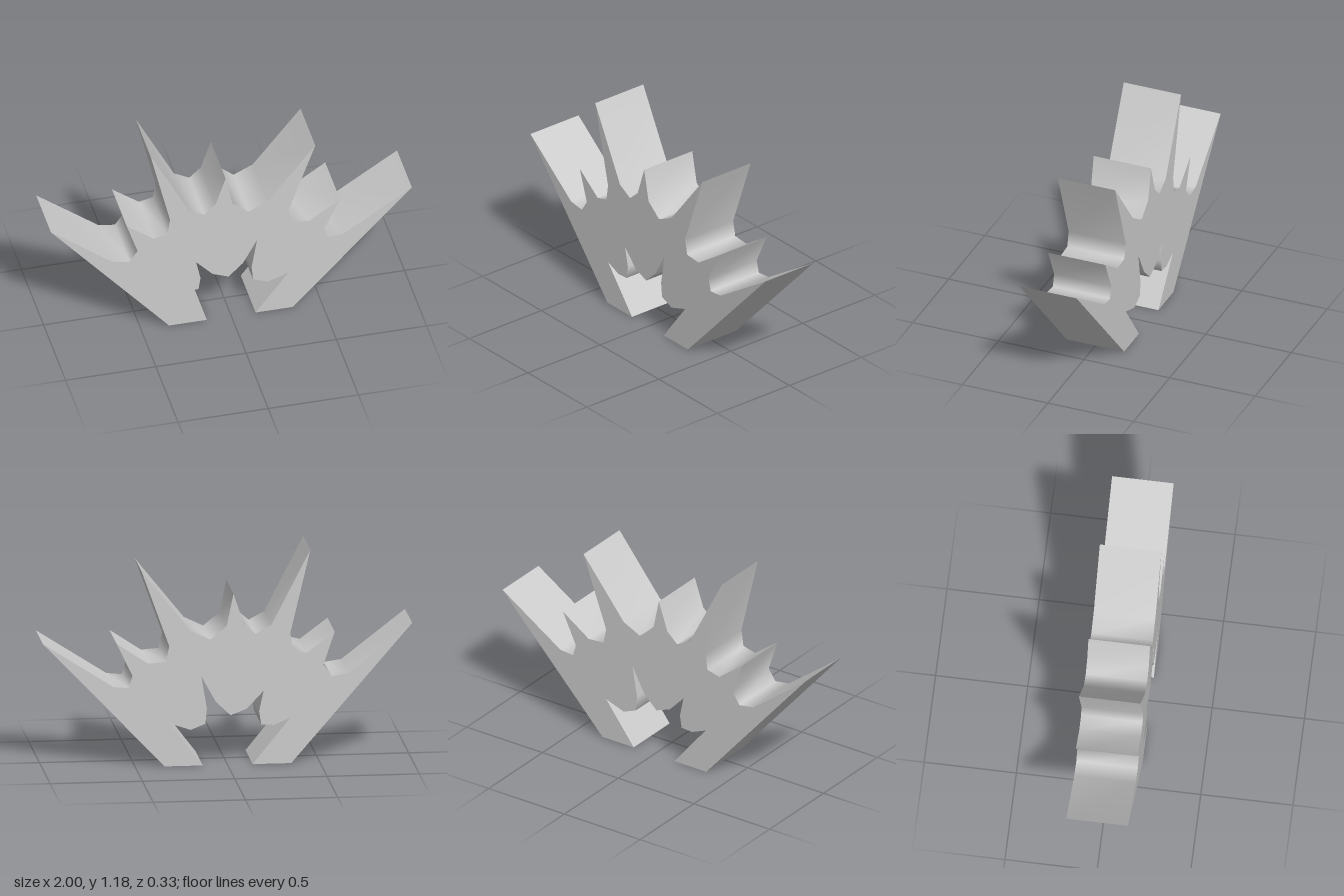
import * as THREE from 'three';

const HALF_DEPTH = 0.167;

// Clockwise outline as runs from one sharp corner up to (not including) the next.
// The first point of each run is a sharp tip; the others round out the valley after it.
const RUNS = [
  [-0.345, 0],                                                  // left foot, outer corner
  [-1, 0.757, -0.655, 0.49, -0.564, 0.476, -0.52, 0.54],        // upper spikes
  [-0.58, 0.72, -0.43, 0.607, -0.353, 0.626, -0.34, 0.72],
  [-0.449, 1.177, -0.238, 0.767, -0.152, 0.72, -0.088, 0.778],
  [-0.032, 0.944, 0.005, 0.767, 0.094, 0.695, 0.2, 0.746],
  [0.465, 1.078, 0.316, 0.663, 0.334, 0.578, 0.43, 0.57],
  [0.602, 0.685, 0.516, 0.505, 0.535, 0.438, 0.618, 0.446],
  [1, 0.693],
  [0.34, 0],                                                    // right foot
  [0.134, 0],
  [0.316, 0.238, 0.2, 0.198, 0.12, 0.23, 0.112, 0.313],         // notches underneath
  [0.142, 0.492, 0.064, 0.35, -0.016, 0.273, -0.104, 0.307],
  [-0.195, 0.404, -0.171, 0.291, -0.182, 0.219, -0.251, 0.214],
  [-0.34, 0.251],
  [-0.136, 0],
].map((run) => {
  const points = [];
  for (let i = 0; i < run.length; i += 2) points.push(new THREE.Vector2(run[i], run[i + 1]));
  return points;
});

// Strip across the depth along a run, smooth within and sharp at both ends
function wallGeometry(points) {
  const position = [];
  const index = [];
  points.forEach((p, i) => {
    position.push(p.x, p.y, HALF_DEPTH, p.x, p.y, -HALF_DEPTH);
    if (i === 0) return;
    const a = 2 * (i - 1);
    index.push(a, a + 2, a + 1, a + 1, a + 2, a + 3);
  });
  const geometry = new THREE.BufferGeometry();
  geometry.setAttribute('position', new THREE.Float32BufferAttribute(position, 3));
  geometry.setIndex(index);
  geometry.computeVertexNormals();
  return geometry;
}

export function createModel() {
  const group = new THREE.Group();
  group.name = 'spikyBurst';
  const material = new THREE.MeshStandardMaterial({ color: 0xcccccc });
  const add = (geometry, name) => {
    const mesh = new THREE.Mesh(geometry, material);
    mesh.name = name;
    group.add(mesh);
  };

  // Flat faces
  const outline = RUNS.flat();
  const mirrored = outline.map((p) => new THREE.Vector2(-p.x, p.y));
  add(new THREE.ShapeGeometry(new THREE.Shape(outline)).translate(0, 0, HALF_DEPTH), 'frontFace');
  add(new THREE.ShapeGeometry(new THREE.Shape(mirrored)).translate(0, 0, HALF_DEPTH).rotateY(Math.PI), 'backFace');

  // Edge walls, each closed by the first point of the next run
  RUNS.forEach((run, i) => {
    const next = RUNS[(i + 1) % RUNS.length][0];
    add(wallGeometry([...run, next]), `edgeWall${i + 1}`);
  });

  return group;
}
